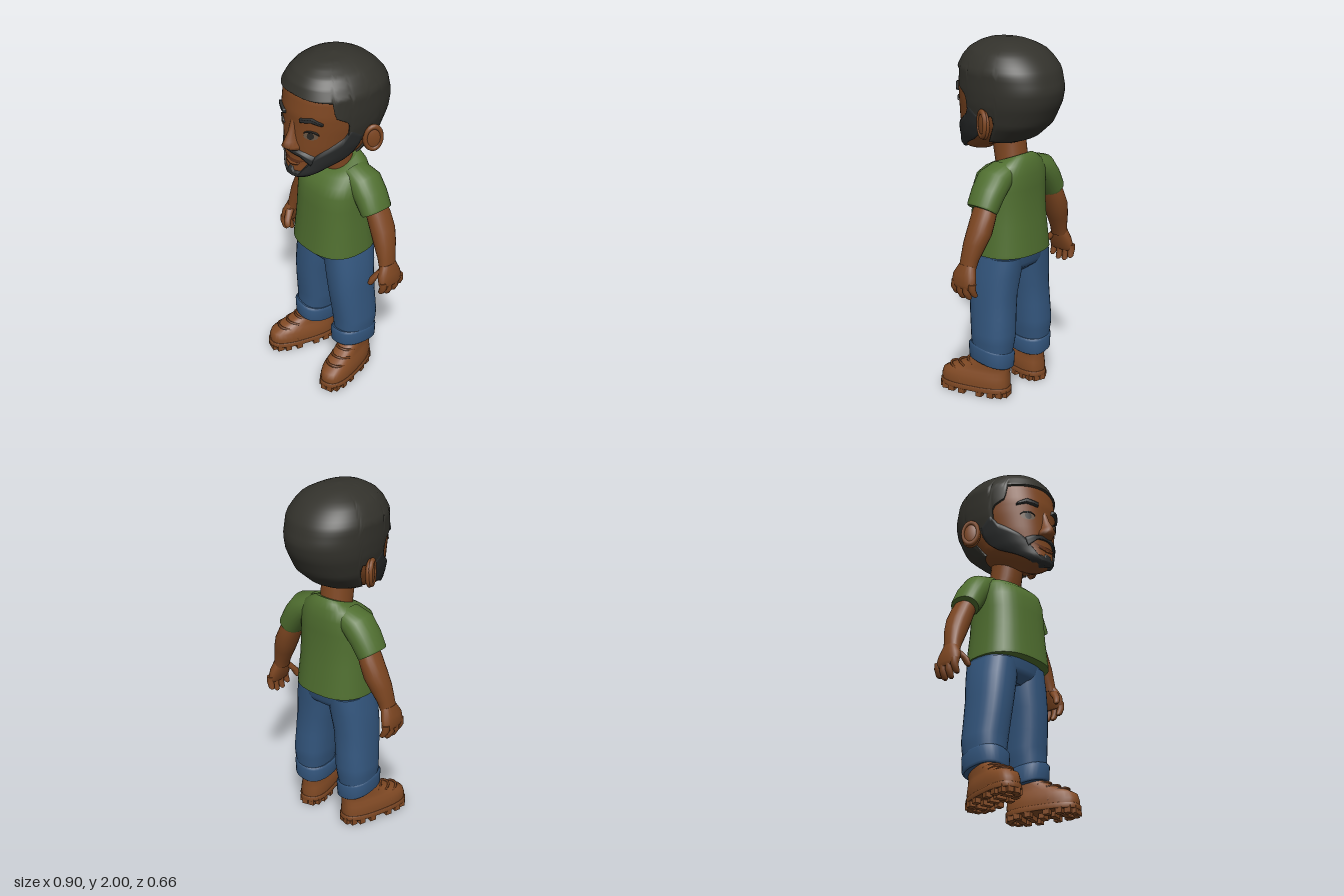
import * as THREE from 'three';
import { mergeGeometries } from 'three/addons/utils/BufferGeometryUtils.js';

const mat = (name, color) => new THREE.MeshStandardMaterial({ name, color });
const power = (v, e) => Math.sign(v) * Math.abs(v) ** (2 / e);
const lerp = THREE.MathUtils.lerp;

function build(pos, index) {
  const g = new THREE.BufferGeometry();
  g.setAttribute('position', new THREE.Float32BufferAttribute(pos, 3));
  g.setIndex(index);
  g.computeVertexNormals();
  return g;
}

// Closed body through rings listed bottom to top: [x, y, z, rx, rz, tilt, lean]
function loft(rings, sides = 24, e = 2.2) {
  const pos = [], index = [];
  const ring = ([x, y, z, rx, rz, tilt = 0, lean = 0]) => {
    for (let j = 0; j < sides; j++) {
      const t = j / sides * Math.PI * 2, s = power(Math.sin(t), e), c = power(Math.cos(t), e);
      pos.push(x + rx * s * Math.cos(tilt), y + rx * s * Math.sin(tilt) + lean * c, z + rz * c);
    }
  };
  rings.forEach(ring);
  for (let i = 0; i < rings.length - 1; i++) for (let j = 0; j < sides; j++) {
    const k = (j + 1) % sides, a = i * sides, b = a + sides;
    index.push(a + j, a + k, b + k, a + j, b + k, b + j);
  }
  for (const top of [false, true]) {
    const r = rings[top ? rings.length - 1 : 0], start = pos.length / 3;
    ring(r);
    pos.push(r[0], r[1], r[2]);
    for (let j = 0; j < sides; j++) {
      const a = start + j, b = start + (j + 1) % sides, c = start + sides;
      top ? index.push(a, b, c) : index.push(b, a, c);
    }
  }
  return build(pos, index);
}

// Head cross-sections: y, half width, front z, centre z, back z
const HEAD = [
  [1.366, 0, .2, .2, .2], [1.37, .055, .265, .2, .13], [1.385, .085, .282, .18, .1],
  [1.41, .12, .283, .14, .06], [1.455, .16, .275, .06, -.09], [1.48, .18, .272, .03, -.16],
  [1.56, .212, .272, -.01, -.25], [1.67, .235, .27, -.03, -.303], [1.74, .24, .272, -.03, -.318],
  [1.84, .24, .257, -.03, -.29], [1.89, .212, .235, -.03, -.25], [1.93, .18, .2, -.025, -.205],
  [1.96, .125, .15, -.02, -.15], [1.978, .08, .1, -.015, -.095], [1.988, 0, -.01, -.01, -.01],
];
const CENTRE = new THREE.Vector3(0, 1.68, -.03);

// Point on the head at angle t (0 is the front) and height y, pushed outward by off
function headPoint(t, y, off) {
  let i = 0;
  while (i < HEAD.length - 2 && y > HEAD[i + 1][0]) i++;
  const a = HEAD[i], b = HEAD[i + 1], f = THREE.MathUtils.clamp((y - a[0]) / (b[0] - a[0]), 0, 1);
  const [, rx, zf, cz, zb] = a.map((v, k) => lerp(v, b[k], f));
  const c = power(Math.cos(t), 2.15);
  const p = new THREE.Vector3(rx * power(Math.sin(t), 2.15), y, cz + (c > 0 ? zf - cz : cz - zb) * c);
  return p.addScaledVector(p.clone().sub(CENTRE).normalize(), off);
}

// Layer on the head between two height curves, its rims sunk into the skin
function patch(t0, t1, low, high, off, cols, rows, closed = false) {
  const pos = [], index = [], n = closed ? cols : cols + 1;
  for (let j = 0; j <= rows; j++) for (let i = 0; i < n; i++) {
    const t = lerp(t0, t1, i / cols), v = j / rows;
    const y = lerp(low(t), high(t), closed ? (1 - Math.cos(v * Math.PI)) / 2 : v);
    const rim = off > .008 && (j === 0 || (!closed && (j === rows || i === 0 || i === cols)));
    pos.push(...headPoint(t, y, rim ? -.004 : off).toArray());
  }
  for (let j = 0; j < rows; j++) for (let i = 0; i < cols; i++) {
    const k = (i + 1) % n, a = j * n, b = a + n;
    index.push(a + i, a + k, b + k, a + i, b + k, b + i);
  }
  return build(pos, index);
}

// Height curve through [angle, y] points, the same on both sides
const curve = (...pts) => (t) => {
  const u = Math.abs(t);
  let i = 0;
  while (i < pts.length - 2 && u > pts[i + 1][0]) i++;
  const [a, b] = [pts[i], pts[i + 1]];
  return lerp(a[1], b[1], THREE.MathUtils.clamp((u - a[0]) / (b[0] - a[0]), 0, 1));
};
const oval = (w, y, h) => (t) => y + h * Math.sqrt(Math.max(0, 1 - ((Math.abs(t) - .48) / w) ** 2));

function mirrored(geo) {
  const g = geo.clone().scale(-1, 1, 1), ix = g.index.array;
  for (let i = 0; i < ix.length; i += 3) [ix[i], ix[i + 1]] = [ix[i + 1], ix[i]];
  return g;
}

export function createModel() {
  const skin = mat('skin', 0x7d4621), hair = mat('hair', 0x33322c), beard = mat('beard', 0x2b2d2d);
  const green = mat('shirt green', 0x506f30), denim = mat('denim', 0x34577f);
  const leather = mat('boot leather', 0x834b25), cord = mat('lace', 0x6b3a1a);
  const eye = mat('eye', 0x6d5744), iris = mat('iris', 0x2a2723), lip = mat('lip', 0x5f3119);

  const model = new THREE.Group();
  model.name = 'standingMan';
  const add = (name, geo, m) => {
    const mesh = new THREE.Mesh(geo, m);
    mesh.name = name;
    model.add(mesh);
  };
  const both = (name, geo, m) => {
    add(name + 'Left', geo, m);
    add(name + 'Right', mirrored(geo), m);
  };

  // Head, hair and beard
  const PI = Math.PI;
  add('head', patch(-PI, PI, () => 1.366, () => 1.988, 0, 72, 48, true), skin);
  const hairline = curve([0, 1.845], [.9, 1.83], [.95, 1.75], [1.22, 1.71], [1.28, 1.56], [1.55, 1.56],
    [1.6, 1.62], [1.85, 1.62], [1.9, 1.47], [PI, 1.452]);
  add('hair', patch(-PI, PI, hairline, () => 1.988, .012, 128, 32, true), hair);
  const beardTop = curve([0, 1.427], [.1, 1.427], [.15, 1.408], [.48, 1.412], [.6, 1.5], [.75, 1.535],
    [1.2, 1.62], [1.28, 1.68], [1.6, 1.6]);
  const beardLow = curve([0, 1.366], [1.15, 1.368], [1.45, 1.455], [1.6, 1.54]);
  add('beard', patch(-1.58, 1.58, beardLow, beardTop, .013, 72, 12), beard);
  add('moustache', patch(-.68, .68, curve([0, 1.512], [.3, 1.505], [.45, 1.48], [.68, 1.45]),
    curve([0, 1.53], [.15, 1.54], [.4, 1.53], [.68, 1.51]), .014, 36, 6), beard);
  add('mouth', patch(-.44, .44, curve([0, 1.455], [.25, 1.46], [.44, 1.482]),
    curve([0, 1.475], [.25, 1.478], [.44, 1.486]), .006, 24, 3), lip);
  add('lowerLip', patch(-.3, .3, curve([0, 1.438], [.3, 1.452]), curve([0, 1.457], [.3, 1.464]), .011, 18, 4), skin);

  // Eyes, brows, nose and ears
  for (const [side, s] of [['Left', 1], ['Right', -1]]) {
    const on = (name, a, b, low, high, off, m) =>
      add(name + side, patch(s > 0 ? a : -b, s > 0 ? b : -a, low, high, off, 18, 6), m);
    on('eye', .31, .65, oval(.17, 1.64, -.022), oval(.17, 1.64, .024), .005, eye);
    on('iris', .40, .56, oval(.08, 1.641, -.019), oval(.08, 1.641, .021), .0075, iris);
    on('eyelid', .29, .67, oval(.19, 1.64, .02), oval(.19, 1.64, .03), .009, iris);
    on('eyebrow', .2, .74, curve([.2, 1.706], [.5, 1.718], [.74, 1.703]),
      curve([.2, 1.733], [.5, 1.748], [.74, 1.718]), .014, beard);
  }
  add('nose', loft([[0, 1.522, .25, .03, .03], [0, 1.538, .25, .053, .06], [0, 1.557, .25, .051, .084],
    [0, 1.585, .25, .034, .074], [0, 1.63, .25, .024, .047], [0, 1.67, .25, .021, .033], [0, 1.71, .25, .02, .016]], 20, 2), skin);
  const placeEar = (g) => g.rotateY(-.45).translate(.252, 1.575, -.06);
  both('ear', placeEar(new THREE.SphereGeometry(1, 20, 14).scale(.024, .08, .056)), skin);
  both('earRim', placeEar(new THREE.TorusGeometry(.052, .013, 8, 24).rotateY(PI / 2).scale(1, 1.25, .85)
    .translate(.012, .006, 0)), skin);
  add('neck', loft([[0, 1.27, -.05, .095, .085], [0, 1.36, -.03, .085, .09], [0, 1.46, -.015, .085, .093],
    [0, 1.56, 0, .085, .09]]), skin);

  // Shirt
  add('shirtBody', loft([[0, .83, -.015, .225, .197], [0, .85, -.015, .224, .196], [0, 1, -.015, .21, .18],
    [0, 1.12, -.015, .205, .172], [0, 1.2, -.02, .205, .168], [0, 1.27, -.03, .195, .158, 0, -.01],
    [0, 1.318, -.045, .165, .13, 0, -.02], [0, 1.343, -.05, .122, .108, 0, -.03],
    [0, 1.353, -.05, .09, .09, 0, -.035]], 36, 2.5), green);
  both('sleeve', loft([[.283, 1.12, -.07, .066, .088, .58], [.277, 1.13, -.07, .07, .092, .58],
    [.235, 1.2, -.07, .076, .096, .62], [.18, 1.265, -.07, .08, .098, .75], [.1, 1.3, -.065, .06, .08, 1]]), green);

  // Arms and hands
  both('arm', loft([[.388, .82, -.06, .036, .05, .3], [.375, .87, -.065, .042, .052, .32],
    [.35, .94, -.075, .055, .062, .35], [.32, 1.01, -.085, .06, .07, .38], [.285, 1.09, -.085, .056, .07, .45],
    [.25, 1.16, -.08, .05, .065, .5]], 20), skin);
  both('palm', loft([[.418, .715, -.058, .022, .07, .1], [.417, .735, -.058, .031, .08, .1],
    [.406, .785, -.055, .037, .074, .15], [.39, .835, -.06, .034, .05, .3]], 20), skin);
  [[-.122, .675], [-.082, .652], [-.04, .65], [0, .668]].forEach(([z, y], i) => {
    both('finger' + (i + 1), loft([[.404, y, z * 1.05, .009, .009], [.408, y + .009, z * 1.05, .017, .017],
      [.424, y + .045, z, .021, .021], [.42, .75, z, .022, .022]], 12, 2), skin);
  });
  both('thumb', loft([[.353, .715, .03, .009, .009], [.355, .726, .03, .017, .018],
    [.365, .76, .02, .021, .022], [.39, .81, -.025, .022, .028]], 12, 2), skin);

  // Jeans
  add('hips', loft([[0, .715, -.025, .1, .09], [0, .75, -.026, .2, .135], [0, .78, -.028, .217, .15],
    [0, .85, -.03, .213, .16]], 32, 2.5), denim);
  both('trouserLeg', loft([[.16, .24, -.03, .09, .115], [.157, .33, -.035, .103, .124], [.154, .38, -.035, .107, .127],
    [.147, .48, -.027, .106, .132], [.136, .6, -.02, .11, .136], [.12, .72, -.025, .115, .144],
    [.108, .82, -.03, .106, .15]], 28, 2.4), denim);
  both('cuff', loft([[.158, .19, -.025, .092, .12, .15, .015], [.158, .2, -.025, .103, .13, .15, .015],
    [.157, .275, -.025, .107, .133, .15, .015], [.157, .288, -.025, .098, .122, .15, .015]], 28, 2.4), denim);

  // Boots, turned outward
  const place = (g) => g.rotateY(.28).translate(.165, 0, -.03);
  both('bootUpper', place(loft([[0, .045, .097, .082, .203], [0, .08, .097, .085, .206], [0, .115, .0925, .079, .2],
    [0, .14, .07, .07, .178], [0, .165, .04, .064, .15], [0, .2, .005, .064, .115], [0, .235, -.005, .062, .1]], 32, 2.6)), leather);
  both('sole', place(loft([[0, .026, .098, .085, .207], [0, .03, .098, .089, .212], [0, .052, .098, .089, .212],
    [0, .056, .098, .085, .207]], 32, 2.6)), leather);
  const lugs = [];
  for (let i = 0; i < 16; i++) {
    const t = (i + .5) / 16 * PI * 2;
    lugs.push(new THREE.BoxGeometry(.034, .04, .036)
      .translate(.068 * power(Math.sin(t), 2.6), .02, .098 + .19 * power(Math.cos(t), 2.6)));
  }
  for (let i = 0; i < 5; i++) lugs.push(new THREE.BoxGeometry(.06, .03, .03).translate(0, .015, -.03 + i * .065));
  both('soleLugs', place(mergeGeometries(lugs)), leather);
  [[.145, .245], [.168, .192], [.192, .14]].forEach(([y, z], i) => {
    const path = new THREE.CatmullRomCurve3([[-.056, y - .012, z - .05], [-.03, y, z - .008], [0, y + .004, z + .002],
      [.03, y, z - .008], [.056, y - .012, z - .05]].map((p) => new THREE.Vector3(...p)));
    both('lace' + (i + 1), place(new THREE.TubeGeometry(path, 14, .007, 6)), cord);
  });
  both('toeSeam', place(new THREE.TubeGeometry(new THREE.CatmullRomCurve3([[-.08, .075, .16], [-.066, .118, .19],
    [-.03, .138, .238], [0, .141, .248], [.03, .138, .238], [.066, .118, .19], [.08, .075, .16]]
    .map((p) => new THREE.Vector3(...p))), 20, .005, 6)), leather);

  return model;
}
